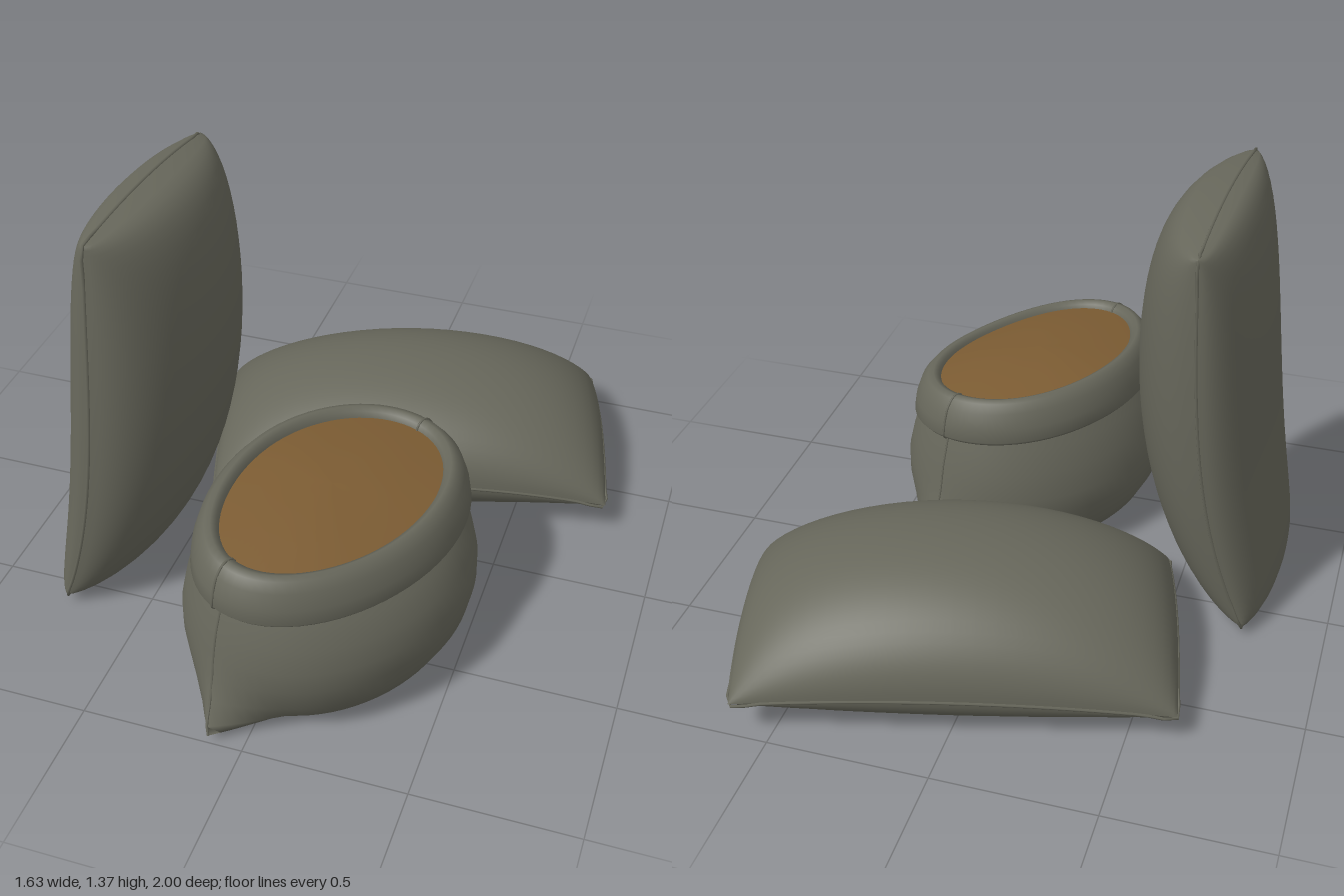
import * as THREE from 'three';

const burlap = new THREE.MeshStandardMaterial({ color: 0x67675b });
burlap.name = 'burlap';
const grain = new THREE.MeshStandardMaterial({ color: 0x7c5c33 });
grain.name = 'grain';

const V = (x, y, z) => new THREE.Vector3(x, y, z);

function makeMesh(name, points, index, material) {
  const geo = new THREE.BufferGeometry().setFromPoints(points);
  geo.setIndex(index);
  geo.computeVertexNormals();
  const mesh = new THREE.Mesh(geo, material);
  mesh.name = name;
  return mesh;
}

function seamTube(name, points, closed, radius) {
  const curve = new THREE.CatmullRomCurve3(points, closed);
  const mesh = new THREE.Mesh(new THREE.TubeGeometry(curve, points.length * 2, radius, 5, closed), burlap);
  mesh.name = name;
  return mesh;
}

// Stuffed closed sack: a curved seam sheet between four corners, puffed to both sides.
// corners: (u-,v-), (u+,v-), (u-,v+), (u+,v+)
function closedSack(name, o) {
  const N = 32;
  const [c00, c10, c01, c11] = o.corners;
  const du = c10.clone().sub(c00).normalize();
  const dv = c01.clone().sub(c00).normalize();
  const forward = du.clone().cross(dv).dot(o.normal) > 0;

  const sheet = (u, v) => {
    const s = (u + 1) / 2, t = (v + 1) / 2;
    const low = c00.clone().lerp(c10, s), high = c01.clone().lerp(c11, s);
    return low.lerp(high, t)
      .addScaledVector(du, u * o.bowU * (1 - v * v))
      .addScaledVector(dv, v * o.bowV * (1 - u * u))
      .addScaledVector(o.normal, o.bend(u, v));
  };
  const step = i => (i === 0 ? -1 : i === N ? 1 : Math.sin((i / N - 0.5) * Math.PI));

  const half = (label, height) => {
    const pts = [], index = [];
    for (let j = 0; j <= N; j++) {
      for (let i = 0; i <= N; i++) {
        const u = step(i), v = step(j);
        const puff = Math.pow(1 - u * u, o.powU) * Math.pow(1 - v * v, o.powV);
        const p = sheet(u, v).addScaledVector(o.normal, height * puff);
        // Settle softly on the floor
        const d = p.y - o.floor(u);
        p.y += (Math.hypot(d, 0.03) - d) / 2;
        pts.push(p);
        if (i < N && j < N) {
          const a = j * (N + 1) + i, b = a + 1, c = a + N + 1, e = c + 1;
          if (forward === (height > 0)) index.push(a, b, c, b, e, c);
          else index.push(a, c, b, b, c, e);
        }
      }
    }
    return makeMesh(label, pts, index, burlap);
  };

  // Stitched edge all the way round
  const rim = [];
  for (let k = 0; k < 4; k++) {
    for (let i = 0; i < 12; i++) {
      const w = -1 + i / 6;
      rim.push(sheet(...[[w, -1], [1, w], [-w, 1], [-1, -w]][k]));
    }
  }
  const group = new THREE.Group();
  group.name = name;
  group.add(half('sackFaceA', o.heightA), half('sackFaceB', -o.heightB), seamTube('sackSeam', rim, true, 0.005));
  return group;
}

// Open sack: tilted oval rings around one centre
const U = V(-0.41, 0, 0.912), W = V(0.912, 0, 0.41);
const centre = V(0.095, 0, 0.452);
const SEG = 72;

// ring: a, b = half axes, y = height, tip = corner flap length, tilt = drop towards front left
function ringPoint(r, t) {
  const d = Math.abs(Math.atan2(Math.sin(2 * t), Math.cos(2 * t))) / 2;
  const flap = (r.tip || 0) * Math.pow(Math.max(0, 1 - d / 0.55), 1.2);
  const wave = 1 + (r.wave || 0) * Math.sin(3 * t + 1);
  const p = centre.clone()
    .addScaledVector(U, (r.a * wave + flap) * Math.cos(t))
    .addScaledVector(W, r.b * wave * Math.sin(t));
  const size = Math.hypot(p.x - centre.x, p.z - centre.z) || 1;
  const toward = ((p.x - centre.x) * 0.78 + (p.z - centre.z) * 0.62) / size;
  p.x += flap * 0.27;
  p.y = r.y - (r.a ? (r.tilt || 0) * toward : 0);
  return p;
}

function loft(name, rings, material) {
  const pts = [], index = [];
  rings.forEach((r, i) => {
    for (let k = 0; k < SEG; k++) {
      pts.push(ringPoint(r, (k / SEG) * Math.PI * 2));
      if (i < rings.length - 1) {
        const a = i * SEG + k, b = i * SEG + (k + 1) % SEG;
        index.push(a, b, a + SEG, b, b + SEG, a + SEG);
      }
    }
  });
  return makeMesh(name, pts, index, material);
}

function openSack() {
  const group = new THREE.Group();
  group.name = 'openSack';
  const body = [
    { a: 0, b: 0, y: 0.018 },
    { a: 0.28, b: 0.2, y: 0.016 },
    { a: 0.42, b: 0.31, y: 0.02, tip: 0.18 },
    { a: 0.45, b: 0.345, y: 0.045, tip: 0.14 },
    { a: 0.485, b: 0.38, y: 0.11, tip: 0.06 },
    { a: 0.5, b: 0.398, y: 0.19, tip: 0.015 },
    { a: 0.5, b: 0.397, y: 0.26 },
    { a: 0.485, b: 0.378, y: 0.34, tilt: 0.01 },
    { a: 0.465, b: 0.345, y: 0.41, tilt: 0.02 },
    { a: 0.45, b: 0.31, y: 0.46, tilt: 0.03 },
  ];
  // Rolled-down cuff: under edge, outside, rim, then inside
  const cuff = [
    [0.44, 0.3, -0.115], [0.475, 0.335, -0.138], [0.486, 0.345, -0.125], [0.48, 0.338, -0.08],
    [0.463, 0.32, -0.03], [0.44, 0.298, -0.004], [0.42, 0.28, 0.003], [0.4, 0.265, -0.006],
    [0.388, 0.256, -0.03], [0.385, 0.252, -0.06],
  ].map(([a, b, dy]) => ({ a, b, y: 0.575 + dy, tilt: 0.033, wave: 0.02 }));
  const fill = [
    { a: 0.4, b: 0.265, y: 0.553, tilt: 0.028, wave: 0.02 },
    { a: 0.27, b: 0.18, y: 0.573, tilt: 0.02 },
    { a: 0.13, b: 0.09, y: 0.584, tilt: 0.01 },
    { a: 0, b: 0, y: 0.586 },
  ];
  group.add(loft('sackBody', body, burlap), loft('sackCuff', cuff, burlap), loft('grainFill', fill, grain));
  // Side seams run from each bottom corner up to the rim
  for (const t of [0, Math.PI]) {
    group.add(seamTube('bodySeam', body.slice(2).map(r => ringPoint(r, t)), false, 0.004));
    group.add(seamTube('cuffSeam', cuff.slice(1, 9).map(r => ringPoint(r, t)), false, 0.004));
  }
  return group;
}

export function createModel() {
  const model = new THREE.Group();
  model.name = 'grainSacks';

  model.add(closedSack('lyingSack', {
    corners: [V(-0.645, 0.08, -0.655), V(0.615, 0.1, -0.993), V(-0.46, 0.08, 0.07), V(0.81, 0.1, -0.275)],
    normal: V(0, 1, 0), heightA: 0.297, heightB: 0.2, powU: 0.52, powV: 0.5,
    bowU: 0.01, bowV: 0.025,
    floor: (u) => 0.008 + 0.022 * Math.max(u, 0) ** 2,
    bend: (u, v) => 0.055 * (1 - u * u * v * v) + 0.035 * Math.max(v, 0) ** 2 * (1 - u * u),
  }));

  model.add(closedSack('standingSack', {
    corners: [V(-0.742, 0.025, -0.14), V(-0.54, 1.315, -0.185), V(-0.747, 0.025, 0.6), V(-0.57, 1.335, 0.575)],
    normal: V(1, 0, 0), heightA: 0.255, heightB: 0.155, powU: 0.29, powV: 0.44,
    bowU: 0.03, bowV: 0.028,
    floor: () => -0.02,
    bend: (u) => 0.06 * (1 - u * u) * (1 - 0.4 * u),
  }));

  model.add(openSack());
  return model;
}
